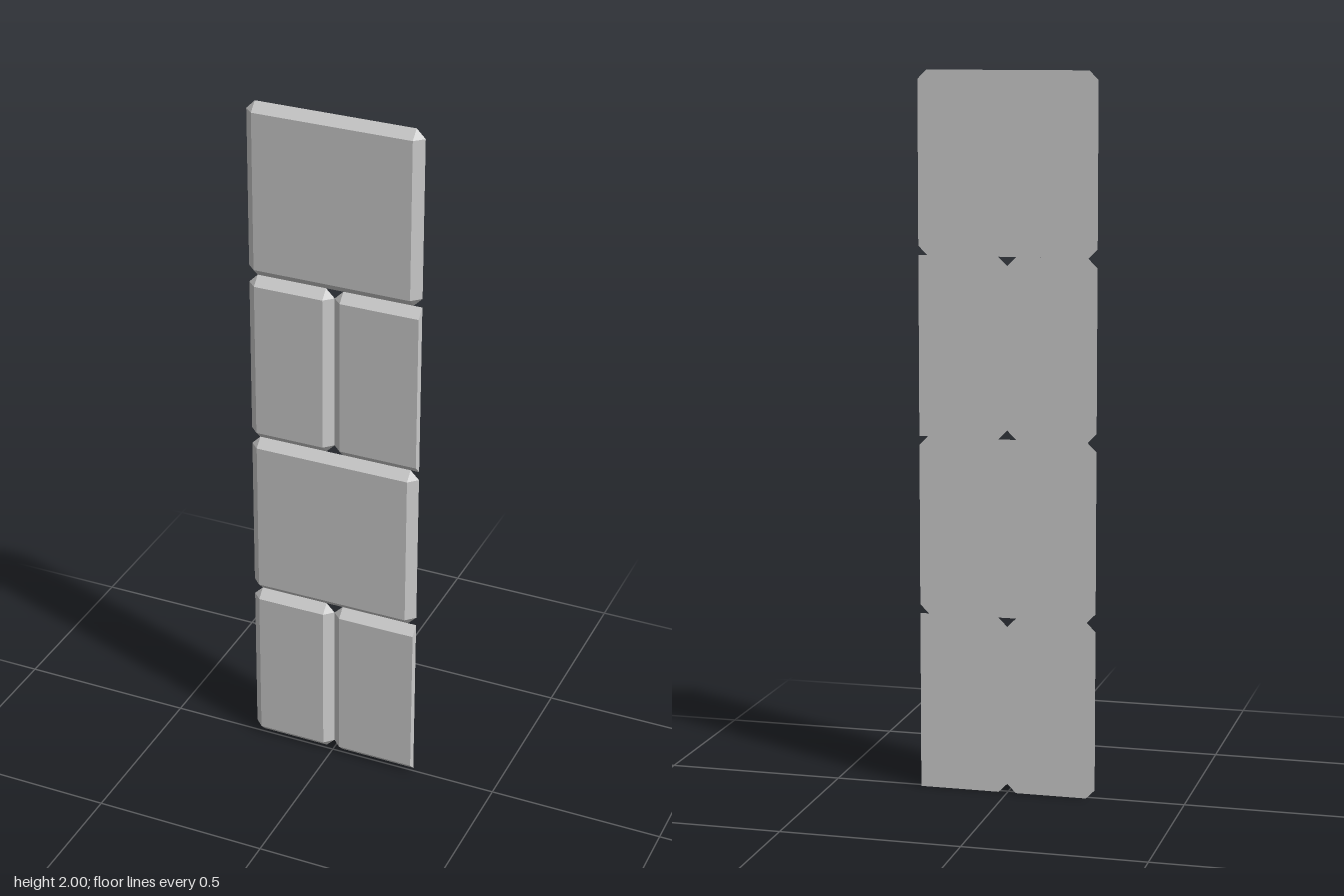
import * as THREE from 'three';

const HEIGHT = 0.5, BEVEL = 0.025, BACK = -0.0125, FRONT = 0.0125;

// One quoin stone: rectangular front face, bevels running to a back outline with cut corners.
// A flush right side ends in a plain vertical face instead of a bevel.
function createStone(name, x0, x1, y0, flushRight, material) {
  const rightBevel = flushRight ? 0 : BEVEL;
  const left = x0 + BEVEL, right = x1 - rightBevel;
  const low = y0 + BEVEL, high = y0 + HEIGHT - BEVEL;
  const corners = [
    [left, low, -BEVEL, -BEVEL], [right, low, rightBevel, -BEVEL],
    [right, high, rightBevel, BEVEL], [left, high, -BEVEL, BEVEL],
  ];
  const front = corners.map(([x, y]) => [x, y, FRONT]);

  // Two back points per front corner, counter-clockwise seen from the front
  const back = corners.map(([x, y, dx, dy], i) => {
    const side = [x + dx, y, BACK], end = [x, y + dy, BACK];
    return i % 2 ? [end, side] : [side, end];
  });

  const positions = [];
  const addFace = (...p) => {
    for (let i = 1; i < p.length - 1; i++) positions.push(...p[0], ...p[i], ...p[i + 1]);
  };
  addFace(...front);
  addFace(...back.flat().reverse());
  for (let i = 0; i < 4; i++) {
    const j = (i + 1) % 4;
    addFace(front[i], back[i][0], back[i][1]); // corner
    addFace(front[i], back[i][1], back[j][0], front[j]); // bevel
  }

  const geometry = new THREE.BufferGeometry();
  geometry.setAttribute('position', new THREE.Float32BufferAttribute(positions, 3));
  geometry.computeVertexNormals();
  const mesh = new THREE.Mesh(geometry, material);
  mesh.name = name;
  return mesh;
}

export function createModel() {
  const model = new THREE.Group();
  model.name = 'quoinStrip';
  const material = new THREE.MeshStandardMaterial({ color: 0xcccccc, flatShading: true });

  // Alternate courses: a pair of half stones, then a whole stone
  for (let row = 0; row < 4; row += 2) {
    const y = row * HEIGHT;
    model.add(
      createStone('halfStoneRight', -0.25, 0, y, false, material),
      createStone('halfStoneLeft', 0, 0.25, y, true, material),
      createStone('wholeStone', -0.25, 0.25, y + HEIGHT, false, material),
    );
  }
  return model;
}
